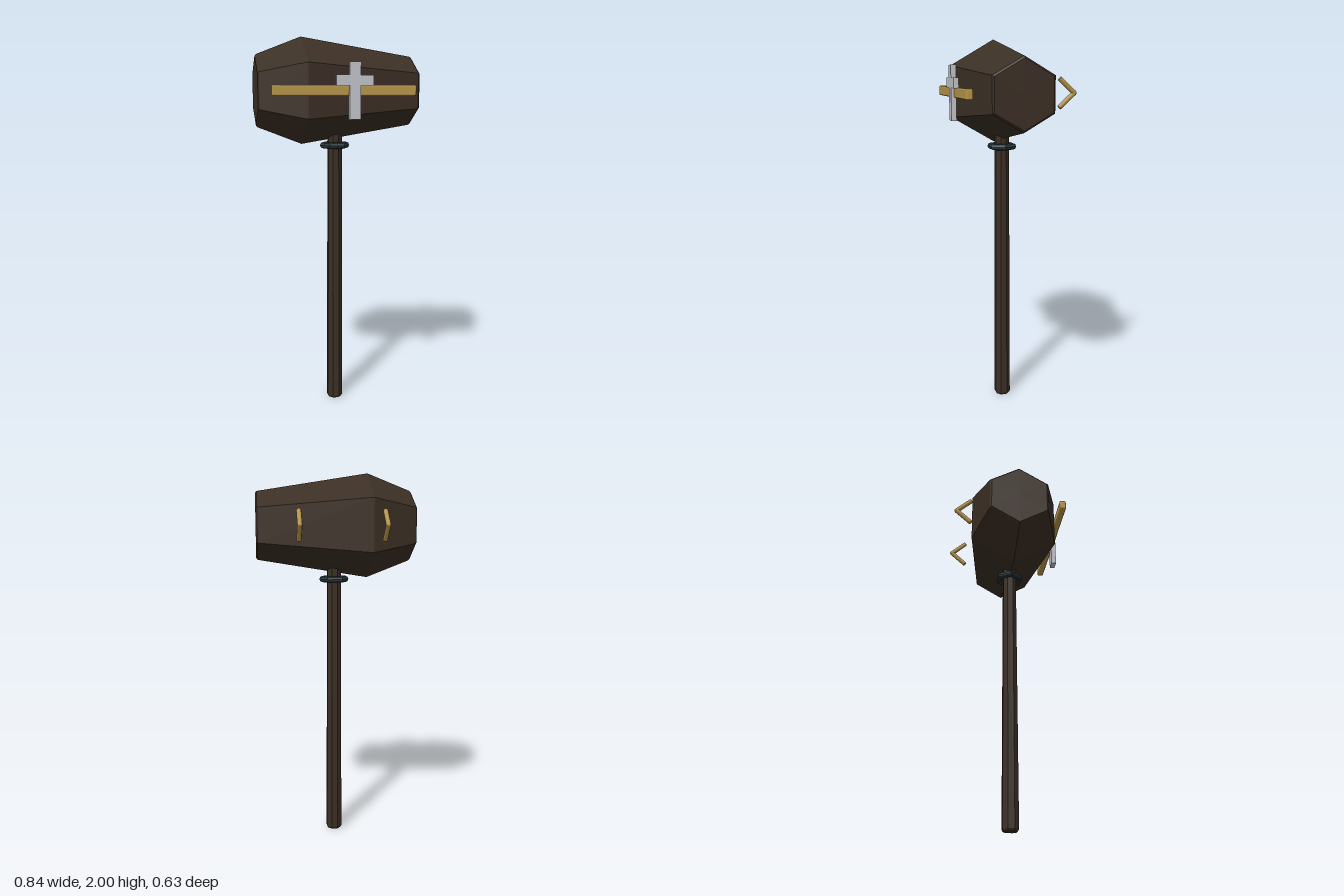
import * as THREE from 'three';
import { RoundedBoxGeometry } from 'three/addons/geometries/RoundedBoxGeometry.js';

const CY = 1.725; // height of the head's axis
const CZ = 0.03;  // depth of the head and handle axis

function flat(geometry) {
  const g = geometry.index ? geometry.toNonIndexed() : geometry;
  g.computeVertexNormals();
  return g;
}

function lathe(points, sides, phi) {
  return new THREE.LatheGeometry(points.map(p => new THREE.Vector2(p[0], p[1])), sides, phi);
}

export function createModel() {
  const model = new THREE.Group();
  model.name = 'coffinHammer';

  const mat = (name, color) => {
    const m = new THREE.MeshStandardMaterial({ color });
    m.name = name;
    return m;
  };
  const wood = mat('dark wood', 0x3b2f25);
  const brass = mat('brass', 0xb8964a);
  const silver = mat('silver', 0xc2c4ca);
  const iron = mat('dark iron', 0x2c3a40);

  const add = (name, geometry, material, x, y, z, parent = model) => {
    const mesh = new THREE.Mesh(geometry, material);
    mesh.name = name;
    mesh.position.set(x, y, z);
    parent.add(mesh);
    return mesh;
  };

  // Hexagonal head lying along x, widest near one end, ends slightly bevelled
  const head = lathe([
    [0, -0.42], [0.176, -0.42], [0.186, -0.412], [0.276, -0.18],
    [0.18, 0.412], [0.17, 0.42], [0, 0.42],
  ], 6, Math.PI / 2);
  head.rotateZ(-Math.PI / 2);
  add('head', flat(head), wood, 0, CY, CZ);

  // Tapered handle with a bevelled foot
  const handle = lathe([
    [0, 0], [0.038, 0], [0.045, 0.012], [0.039, 1.5], [0, 1.5],
  ], 8, Math.PI / 8);
  add('handle', flat(handle), wood, 0, 0, CZ);

  // Six-sided collar ring under the head
  const collar = new THREE.TorusGeometry(0.063, 0.017, 8, 6);
  collar.rotateX(Math.PI / 2);
  add('collar', flat(collar), iron, 0, 1.44, CZ);

  // Rail along the front
  add('frontRail', new RoundedBoxGeometry(0.73, 0.053, 0.035, 2, 0.008), brass, 0, 1.727, 0.283);

  // Cross over the rail
  const cross = new THREE.Group();
  cross.name = 'cross';
  model.add(cross);
  add('crossUpright', new THREE.BoxGeometry(0.056, 0.28, 0.027), silver, 0.046, 1.725, 0.302, cross);
  add('crossArm', new THREE.BoxGeometry(0.188, 0.052, 0.0268), silver, 0.046, 1.776, 0.302, cross);

  // Two bent handles at the back, each made of two rods meeting in a point
  const dy = 0.073, dz = 0.081;
  const rodLength = Math.hypot(dy, dz);
  for (const x of [-0.235, 0.205]) {
    const hook = new THREE.Group();
    hook.name = 'backHandle';
    hook.position.set(x, CY, -0.301);
    model.add(hook);
    for (const s of [1, -1]) {
      const rod = add('backHandleRod', new THREE.CylinderGeometry(0.013, 0.013, rodLength, 8), brass,
        0, s * dy / 2, dz / 2, hook);
      rod.rotation.x = s * Math.atan2(dz, dy);
      if (s < 0) rod.rotation.x += Math.PI;
    }
    const joint = new THREE.SphereGeometry(0.013, 8, 6);
    add('backHandleJoint', joint, brass, 0, 0, 0, hook);
  }

  return model;
}
